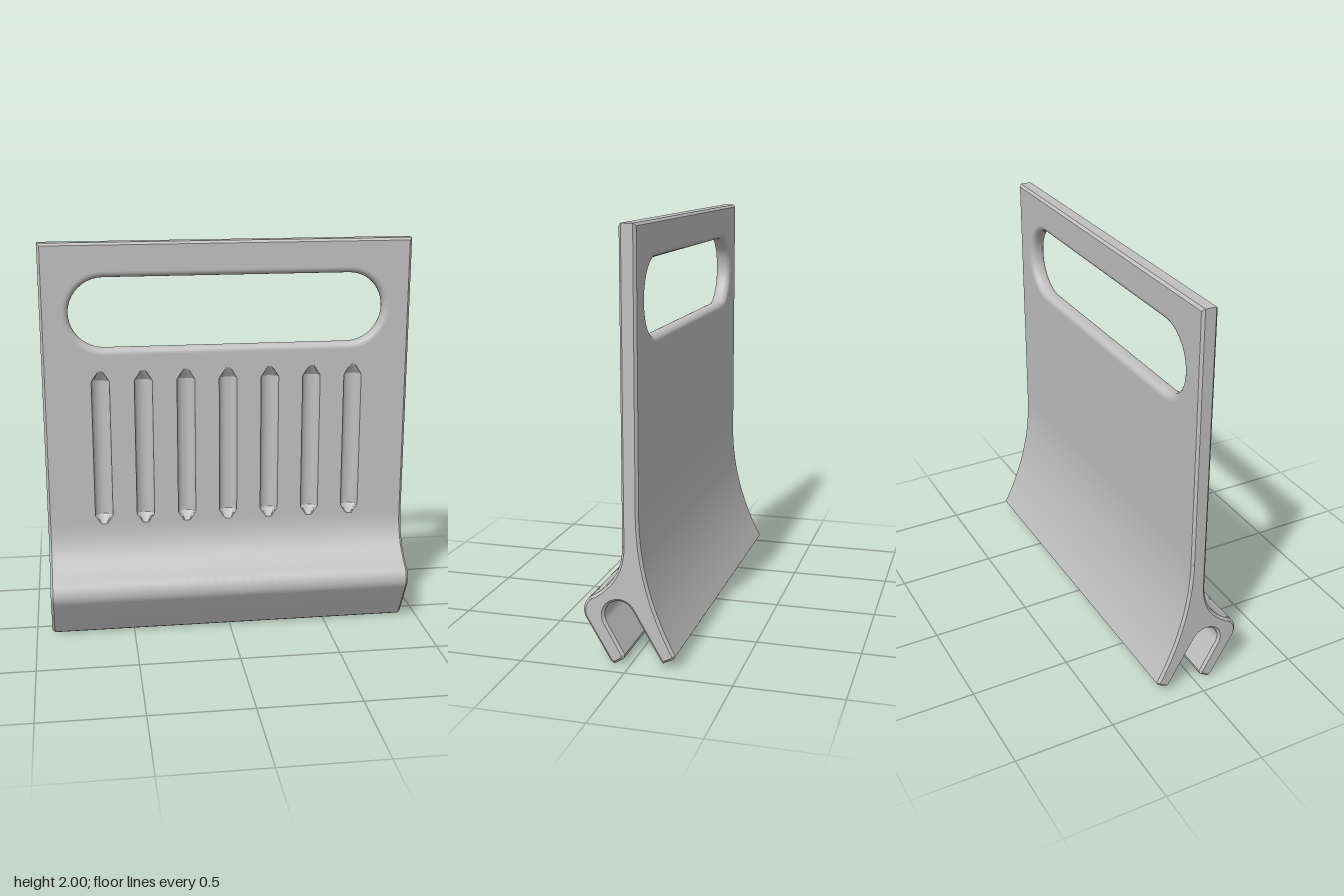
import * as THREE from 'three';
import { toCreasedNormals } from 'three/addons/utils/BufferGeometryUtils.js';

const HALF = 0.922;              // half width of the whole part
const FRONT = 0.033, BACK = -0.045; // faces of the plate
const CHAMFER = 0.012;
const TOP = 2, PLATE_BOTTOM = 0.5;

// Surface through a list of equally long rows of points
function loft(rows, closed, crease) {
  const n = rows[0].length, index = [];
  for (let i = 0; i < rows.length - 1; i++) {
    for (let j = 0; j < (closed ? n : n - 1); j++) {
      const k = (j + 1) % n;
      const a = i * n + j, b = i * n + k, c = a + n, d = b + n;
      index.push(a, c, b, b, c, d);
    }
  }
  const geo = new THREE.BufferGeometry().setFromPoints(rows.flat());
  geo.setIndex(index);
  return toCreasedNormals(geo, crease);
}

// Counter-clockwise stadium outline of the handle opening, grown by an offset
function slotOutline(grow) {
  const pts = [], r = 0.175 + grow, steps = 24;
  for (const side of [1, -1]) {
    for (let i = 0; i <= steps; i++) {
      const a = -Math.PI / 2 + (i / steps) * Math.PI;
      pts.push(new THREE.Vector2(side * (0.61 + r * Math.cos(a)), 1.655 + side * r * Math.sin(a)));
    }
  }
  return pts;
}

function plateOutline(inset) {
  const x = HALF - inset, y0 = PLATE_BOTTOM + inset, y1 = TOP - inset;
  return [[-x, y0], [x, y0], [x, y1], [-x, y1]].map(([a, b]) => new THREE.Vector2(a, b));
}

const atDepth = (pts, z) => pts.map(p => new THREE.Vector3(p.x, p.y, z));

export function createModel() {
  const model = new THREE.Group();
  const grey = new THREE.MeshStandardMaterial({ color: 0xc0c0c0, side: THREE.DoubleSide });
  grey.name = 'light grey';
  const add = (name, geo) => {
    const mesh = new THREE.Mesh(geo, grey);
    mesh.name = name;
    model.add(mesh);
    return mesh;
  };

  const FILLET = 0.03;
  // Groove stations: height, half width, depth
  const stations = [[1.37, 0.012, 0], [1.315, 0.045, 0.035], [0.615, 0.045, 0.035], [0.565, 0.012, 0]];
  const grooveX = Array.from({ length: 7 }, (_, i) => (i - 3) * 0.2125);

  // Plate faces: both pierced by the handle, the front also by the grooves
  const front = new THREE.Shape(plateOutline(CHAMFER));
  front.holes.push(new THREE.Path(slotOutline(FILLET)));
  for (const gx of grooveX) {
    const right = stations.map(([y, w]) => new THREE.Vector2(gx + w, y));
    const left = stations.map(([y, w]) => new THREE.Vector2(gx - w, y)).reverse();
    front.holes.push(new THREE.Path([...right, ...left]));
  }
  add('plateFront', new THREE.ShapeGeometry(front)).position.z = FRONT;

  const back = new THREE.Shape(plateOutline(CHAMFER));
  back.holes.push(new THREE.Path(slotOutline(FILLET)));
  add('plateBack', new THREE.ShapeGeometry(back).rotateY(Math.PI)).position.z = BACK;

  // Chamfered outer edge of the plate
  add('plateEdge', loft([
    atDepth(plateOutline(CHAMFER), FRONT),
    atDepth(plateOutline(0), FRONT - CHAMFER),
    atDepth(plateOutline(0), BACK + CHAMFER),
    atDepth(plateOutline(CHAMFER), BACK),
  ], true, 0.3));

  // Rounded rim inside the handle opening
  const rim = [];
  for (let i = 0; i <= 8; i++) {
    const a = (i / 8) * Math.PI / 2;
    rim.push([FILLET * (1 - Math.sin(a)), FRONT - FILLET * (1 - Math.cos(a))]);
  }
  for (let i = 8; i >= 0; i--) rim.push([rim[i][0], FRONT + BACK - rim[i][1]]);
  add('handleRim', loft(rim.map(([g, z]) => atDepth(slotOutline(g).reverse(), z)), true, 1));

  // Sunken grip grooves with pointed ends
  for (const gx of grooveX) {
    const rows = stations.map(([y, w, d]) => Array.from({ length: 17 }, (_, i) => {
      const a = (i / 16) * Math.PI;
      return new THREE.Vector3(gx - w * Math.cos(a), y, FRONT - d * Math.sin(a));
    }));
    add('gripGroove', loft(rows, false, 0.45));
  }

  // Forked clip along the bottom; profile drawn with horizontal = -z
  const s = new THREE.Shape();
  s.moveTo(-FRONT, 0.57);
  s.quadraticCurveTo(-FRONT, 0.403, -0.18, 0.319);              // front sweep
  s.absarc(-0.14, 0.25, 0.08, Math.PI * 2 / 3, Math.PI * 7 / 6, false); // shoulder
  s.lineTo(-0.092, 0.012);                                      // front jaw
  s.lineTo(-0.076, 0.002);
  s.lineTo(-0.031, 0.030);
  s.lineTo(-0.027, 0.049);
  s.absarc(-0.05, 0.235, 0.071, Math.PI * 7 / 6, Math.PI / 6, true); // slot
  s.lineTo(0.143, 0.045);                                       // back jaw
  s.lineTo(0.156, 0.028);
  s.lineTo(0.205, 0.053);
  s.lineTo(0.214, 0.068);
  s.quadraticCurveTo(0.045, 0.38, -BACK, 0.72);                 // back sweep
  s.lineTo(0.02, 0.72);                                         // tongue hidden in the plate
  s.lineTo(0.02, 0.6);
  s.closePath();
  const clip = new THREE.ExtrudeGeometry(s, {
    depth: 2 * (HALF - CHAMFER), curveSegments: 24,
    bevelEnabled: true, bevelSegments: 1, bevelSize: CHAMFER,
    bevelThickness: CHAMFER, bevelOffset: -CHAMFER,
  });
  clip.translate(0, 0, -(HALF - CHAMFER)).rotateY(Math.PI / 2);
  add('clip', toCreasedNormals(clip, 0.4));

  return model;
}
